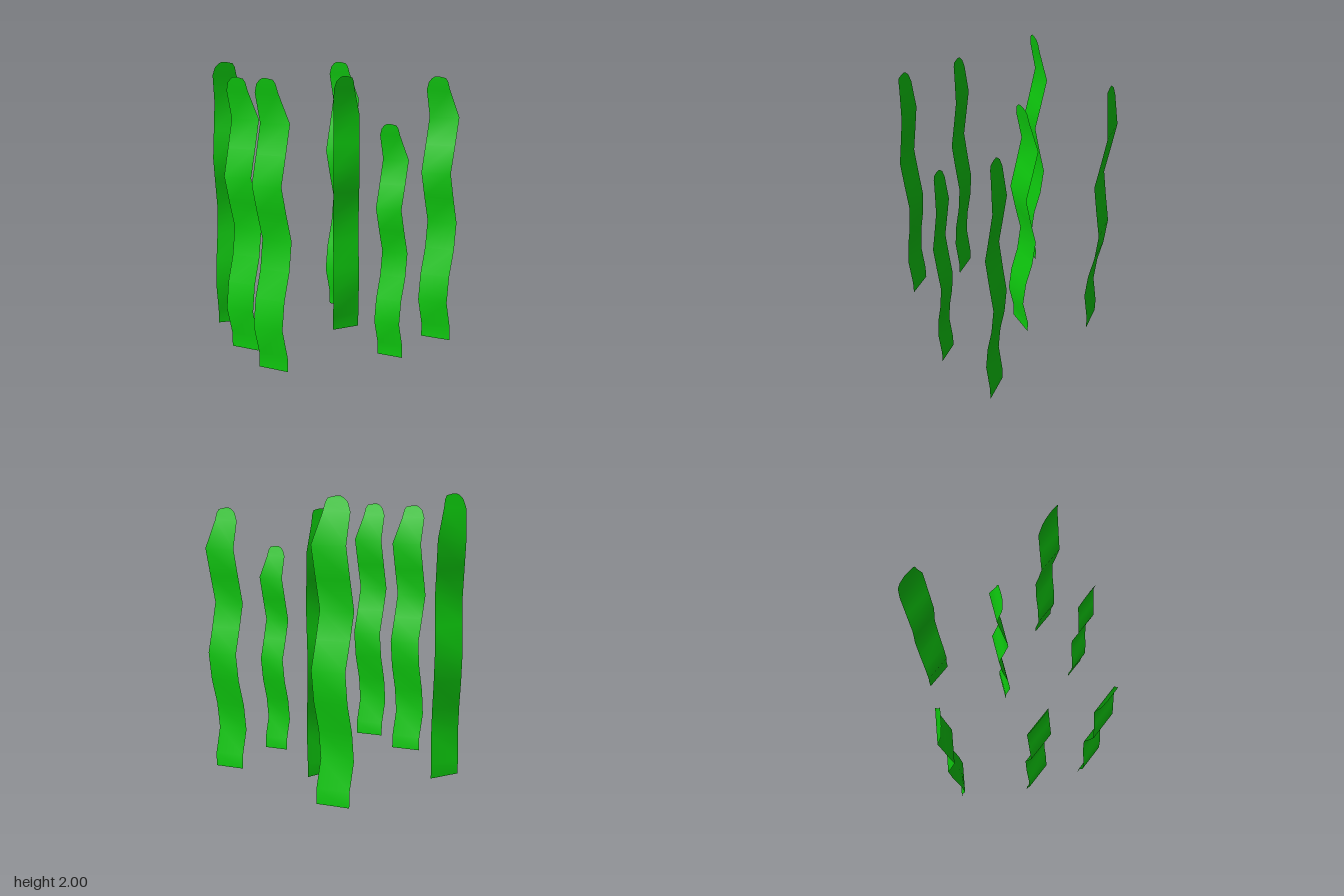
import * as THREE from 'three';

// Cross-sections of one blade, bottom to top: [height, sway, left edge, right edge]
const H = 1.9, W = 0.108;
const ROWS = [
  [0, 0.03, -W, W], [0.1, 0, -W, W], [0.29, -1, -W, W], [0.48, -0.55, -W, W],
  [0.67, 0.5, -W, W], [0.87, 1, -W, W], [1.05, 0, -W, W], [1.23, -0.9, -W, W],
  [1.42, 0, -W, W], [1.62, 0.9, -W, W], [1.81, -0.1, -0.105, 0.063],
  [1.865, -0.35, -0.083, 0.055], [1.89, -0.48, -0.055, 0.042], [1.9, -0.5, -0.035, -0.005],
];

// Thin wavy ribbon with a rounded, lopsided tip
function bladeGeometry() {
  const positions = [], index = [];
  ROWS.forEach(([y, sway, left, right], i) => {
    const dx = 0.0168 * sway, dz = -0.0357 * sway;
    positions.push(left + dx, y, dz, right + dx, y, dz);
    if (i > 0) {
      const a = 2 * (i - 1);
      index.push(a, a + 1, a + 3, a, a + 3, a + 2);
    }
  });
  const geometry = new THREE.BufferGeometry();
  geometry.setAttribute('position', new THREE.Float32BufferAttribute(positions, 3));
  geometry.setIndex(index);
  geometry.computeVertexNormals();
  return geometry;
}

export function createModel() {
  const group = new THREE.Group();
  group.name = 'seaweedPatch';
  const green = new THREE.MeshStandardMaterial({ color: 0x0ecb0e, side: THREE.DoubleSide });
  green.name = 'seaweedGreen';
  const geometry = bladeGeometry();

  // Blades: [x, z, height, turn in degrees]
  const blades = [
    [-0.805, -0.087, 2, 34.3],
    [-0.49, 0.42, 1.9, -9.5],
    [-0.165, 0.717, 1.9, -9.5],
    [-0.098, -0.717, 2, -9.5],
    [0.08, -0.193, 1.9, 43],
    [0.52, 0.265, 1.6, -9.5],
    [0.768, -0.17, 1.9, -9.5],
  ];
  blades.forEach(([x, z, height, turn], i) => {
    const blade = new THREE.Mesh(geometry, green);
    blade.name = `seaweedBlade${i + 1}`;
    blade.position.set(x, 0, z);
    blade.rotation.y = THREE.MathUtils.degToRad(turn);
    blade.scale.setScalar(height / H);
    group.add(blade);
  });
  return group;
}
